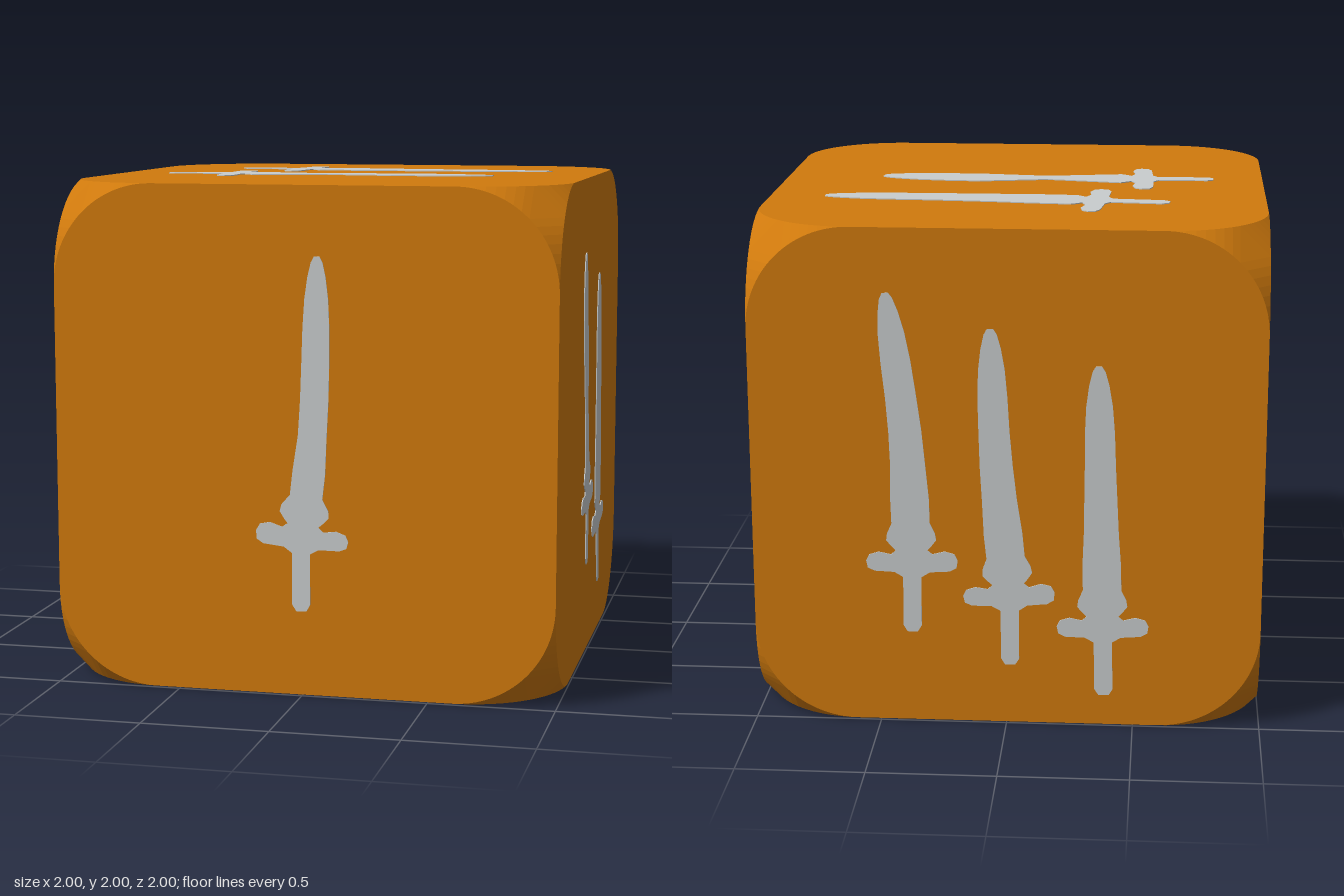
import * as THREE from 'three';

const HALF = 0.996;   // half size of the cube body
const R = 0.4;        // how far the corners are cut back
const STEPS = 8;      // segments per half corner arc

const orange = new THREE.MeshStandardMaterial({ color: 0xd07a0d });
orange.name = 'orange';
const silver = new THREE.MeshStandardMaterial({ color: 0xc9cdce });
silver.name = 'silver';

// Each face: right and up directions, plus its swords.
// Sword: centre line from pommel to tip, blade half-widths (base, middle, upper), guard half-width
const straight = (x0, y0, x1, y1, w, guard) => ({
  line: [[x0, y0], [x0 * 0.6 + x1 * 0.4, y0 * 0.6 + y1 * 0.4], [x1, y1]], blade: w, guard,
});
const wide = [0.075, 0.068, 0.06], slim = [0.055, 0.05, 0.045], medium = [0.065, 0.06, 0.055];
const FACES = {
  front: { u: [1, 0, 0], v: [0, 1, 0], swords: [
    { line: [[0, -0.67], [0, -0.4], [0.05, 0.1], [0.065, 0.73]], blade: [0.065, 0.057, 0.055], guard: 0.185 },
  ] },
  right: { u: [0, 0, -1], v: [0, 1, 0], swords: [
    { line: [[-0.06, -0.63], [-0.07, -0.33], [-0.15, 0.2], [-0.2, 0.5], [-0.205, 0.7]], blade: [0.06, 0.045, 0.065], guard: 0.185 },
    { line: [[0.35, -0.79], [0.31, -0.5], [0.295, -0.1], [0.26, 0.58]], blade: [0.095, 0.087, 0.077], guard: 0.2 },
  ] },
  top: { u: [1, 0, 0], v: [0, 0, -1], swords: [
    { line: [[-0.62, 0.43], [-0.3, 0.4], [0.2, 0.37], [0.78, 0.36]], blade: [0.095, 0.082, 0.07], guard: 0.24 },
    { line: [[-0.8, -0.11], [-0.47, -0.1], [-0.1, -0.1], [0.2, -0.09], [0.6, -0.11]], blade: [0.085, 0.04, 0.085], guard: 0.24 },
  ] },
  back: { u: [-1, 0, 0], v: [0, 1, 0], swords: [
    { line: [[-0.37, -0.63], [-0.37, -0.3], [-0.39, 0.2], [-0.46, 0.75]], blade: wide, guard: 0.18 },
    { line: [[0.015, -0.76], [0.01, -0.45], [-0.04, 0.1], [-0.06, 0.616]], blade: wide, guard: 0.18 },
    straight(0.385, -0.88, 0.355, 0.475, wide, 0.18),
  ] },
  left: { u: [0, 0, 1], v: [0, 1, 0], swords: [
    straight(-0.44, -0.4, -0.43, 0.75, slim, 0.165),
    straight(-0.11, -0.53, -0.11, 0.64, slim, 0.165),
    straight(0.215, -0.66, 0.19, 0.49, slim, 0.165),
    straight(0.55, -0.83, 0.51, 0.36, slim, 0.165),
  ] },
  bottom: { u: [1, 0, 0], v: [0, 0, 1], swords: [
    straight(-0.53, 0.27, 0.75, 0.345, medium, 0.18),
    straight(-0.69, -0.12, 0.625, -0.085, medium, 0.18),
    straight(-0.86, -0.48, 0.485, -0.53, medium, 0.18),
  ] },
};

// Sword outline: half profile swept along the centre line, then mirrored
function swordShape({ line, blade: [b0, b1, b2], guard: g }) {
  const curve = new THREE.SplineCurve(line.map(p => new THREE.Vector2(...p)));
  const half = [
    [0.006, 0.02], [0.025, 0.036], [0.17, 0.036], [0.185, 0.07],          // pommel and grip
    [0.188, g * 0.82], [0.198, g * 0.97], [0.22, g], [0.238, g * 0.93],   // guard arm
    [0.246, g * 0.72], [0.238, g * 0.45], [0.25, 0.062],                  // notch
    [0.262, 0.078], [0.28, 0.098], [0.3, 0.094], [0.33, b0], [0.4, (b0 + b1) / 2 + 0.004],
    [0.5, b1], [0.6, (b1 + b2) / 2], [0.7, b2], [0.8, b2 * 0.96], [0.88, b2 * 0.85],
    [0.94, b2 * 0.65], [0.98, b2 * 0.42], [0.996, b2 * 0.2],              // blade and tip
  ];
  const side = s => half.map(([t, w]) => {
    const p = curve.getPointAt(t), d = curve.getTangentAt(t);
    return new THREE.Vector2(p.x + s * w * d.y, p.y - s * w * d.x);
  });
  return new THREE.Shape([...side(1), ...side(-1).reverse()]);
}

// Square face with rounded corners
function faceShape() {
  const s = new THREE.Shape(), c = HALF - R;
  [[1, 1], [-1, 1], [-1, -1], [1, -1]].forEach(([x, y], i) =>
    s.absarc(x * c, y * c, R, i * Math.PI / 2, (i + 1) * Math.PI / 2, false));
  return s;
}

// All eight corners: a flat triangle with three pointed strips running into the cube edges
function cornerGeometry() {
  const pos = [];
  for (const sx of [-1, 1]) for (const sy of [-1, 1]) for (const sz of [-1, 1]) {
    const out = new THREE.Vector3(sx, sy, sz);
    const tri = (a, b, c) => {
      const n = b.clone().sub(a).cross(c.clone().sub(a));
      for (const p of n.dot(out) > 0 ? [a, b, c] : [a, c, b]) pos.push(p.x, p.y, p.z);
    };
    const point = (k, j, i) => {
      const a = (i / STEPS) * Math.PI / 4, d = [0, 0, 0];
      d[k] = R - R * Math.sin(a);
      d[j] = R - R * Math.cos(a);
      return new THREE.Vector3(...d.map(e => HALF - e)).multiply(out);
    };
    for (let k = 0; k < 3; k++) {
      const j = (k + 1) % 3, l = (k + 2) % 3;
      for (let i = 0; i < STEPS; i++) {
        const p = point(k, j, i), p1 = point(k, j, i + 1);
        const q = point(k, l, i), q1 = point(k, l, i + 1);
        if (i > 0) tri(p, q, q1);
        tri(p, q1, p1);
      }
    }
    tri(point(0, 1, STEPS), point(1, 2, STEPS), point(2, 0, STEPS));
  }
  const geo = new THREE.BufferGeometry();
  geo.setAttribute('position', new THREE.Float32BufferAttribute(pos, 3));
  geo.computeVertexNormals();
  return geo;
}

export function createModel() {
  const model = new THREE.Group();
  model.name = 'swordDie';
  const add = (parent, geo, mat, name) => {
    const mesh = new THREE.Mesh(geo, mat);
    mesh.name = name;
    parent.add(mesh);
    return mesh;
  };

  add(model, cornerGeometry(), orange, 'roundedCorners').position.y = 1;

  for (const [name, { u, v, swords }] of Object.entries(FACES)) {
    const side = new THREE.Group();
    side.name = name + 'Side';
    const U = new THREE.Vector3(...u), V = new THREE.Vector3(...v);
    side.quaternion.setFromRotationMatrix(new THREE.Matrix4().makeBasis(U, V, U.clone().cross(V)));
    side.position.y = 1;
    model.add(side);

    add(side, new THREE.ShapeGeometry(faceShape(), STEPS * 2), orange, name + 'Face').position.z = HALF;

    // Thin raised swords
    swords.forEach((s, i) => {
      const geo = new THREE.ExtrudeGeometry(swordShape(s), { depth: 0.006, bevelEnabled: false });
      add(side, geo, silver, `${name}Sword${i + 1}`).position.z = 0.994;
    });
  }
  return model;
}
